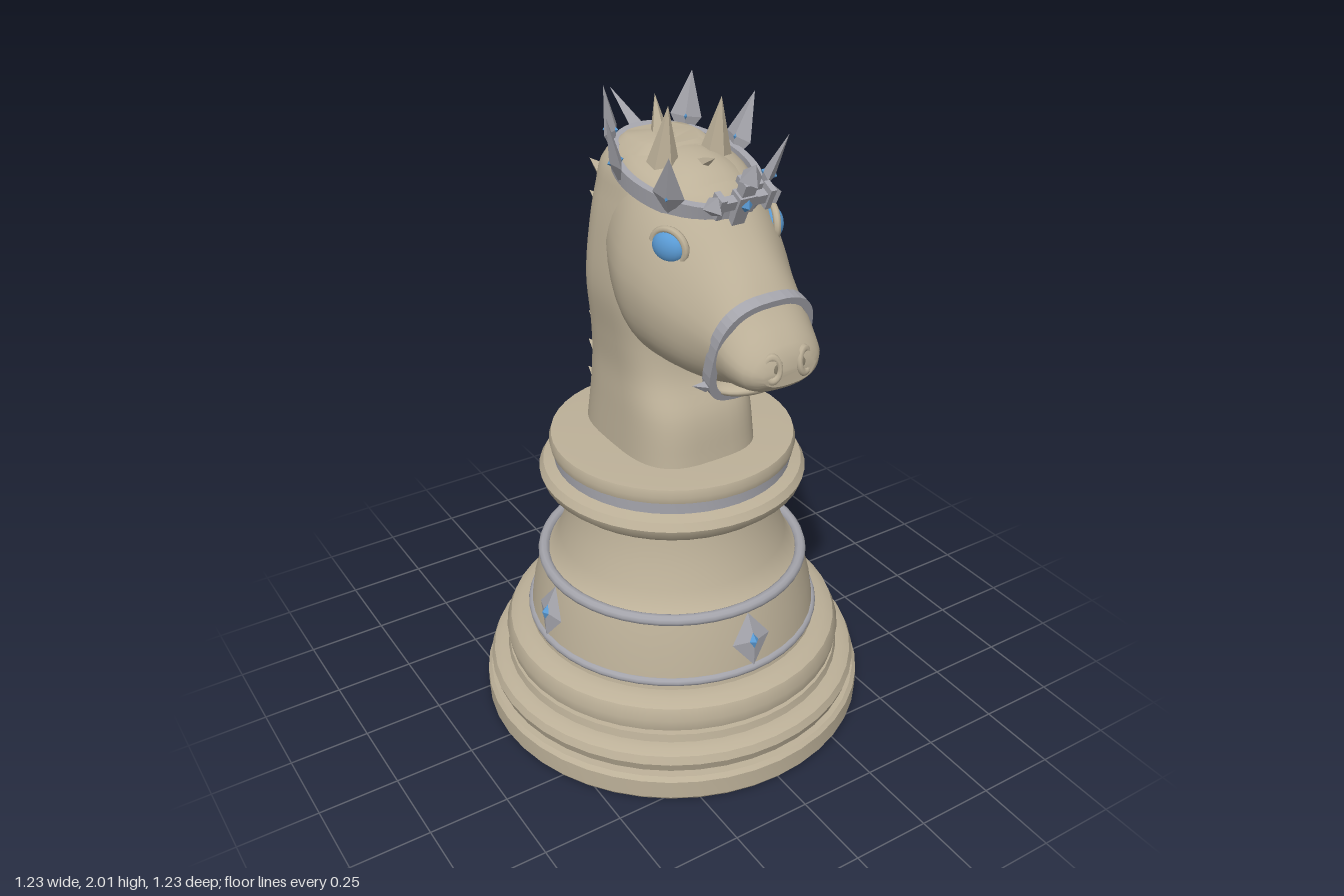
import * as THREE from 'three';
import { toCreasedNormals } from 'three/addons/utils/BufferGeometryUtils.js';

const mat = (name, color, extra = {}) => new THREE.MeshStandardMaterial({ name, color, ...extra });

export function createModel() {
  const stone = mat('warm stone', 0xbcb098);
  const silver = mat('silver', 0xa4a4ab);
  const blue = mat('blue gem', 0x5a9bd5);
  const shade = mat('dark stone', 0x8f8672);
  const root = new THREE.Group();
  root.name = 'knightPiece';

  const add = (parent, name, geo, material, pos = [0, 0, 0], rot = [0, 0, 0], scale = [1, 1, 1]) => {
    const m = new THREE.Mesh(geo, material);
    m.name = name;
    m.position.set(...pos);
    m.rotation.set(...rot);
    m.scale.set(...scale);
    parent.add(m);
    return m;
  };
  const group = (parent, name, pos = [0, 0, 0], rot = [0, 0, 0]) => {
    const g = new THREE.Group();
    g.name = name;
    g.position.set(...pos);
    g.rotation.set(...rot);
    parent.add(g);
    return g;
  };
  const lathe = (pts, crease = 0.6) => toCreasedNormals(
    new THREE.LatheGeometry(pts.map(p => new THREE.Vector2(...p)), 44), crease);
  // four-sided kite solid, widest at its origin
  const kite = (w, up, down, t) => {
    const g = new THREE.OctahedronGeometry(1), p = g.attributes.position;
    for (let i = 0; i < p.count; i++) {
      const y = p.getY(i);
      p.setXYZ(i, p.getX(i) * w, y > 0 ? y * up : y * down, p.getZ(i) * t);
    }
    g.computeVertexNormals();
    return g;
  };
  // cone from a base point to a tip
  const spike = (parent, name, base, tip, r, material, sides = 5) => {
    const a = new THREE.Vector3(...base), d = new THREE.Vector3(...tip).sub(a);
    const g = new THREE.ConeGeometry(r, d.length(), sides).toNonIndexed();
    g.computeVertexNormals();
    g.translate(0, d.length() / 2, 0);
    const m = add(parent, name, g, material, base);
    m.quaternion.setFromUnitVectors(new THREE.Vector3(0, 1, 0), d.normalize());
  };
  const power = (v, n) => Math.sign(v) * Math.abs(v) ** (2 / n);
  // smooth body through sections [position, high, low, half width]
  const loft = (sections, place, n, dir, steps = 40, seg = 48) => {
    const f = new THREE.CubicInterpolant(new Float32Array(sections.map(s => s[0])),
      new Float32Array(sections.flatMap(s => s.slice(1))), 3);
    const t0 = sections[0][0], t1 = sections[sections.length - 1][0], pos = [], idx = [];
    for (let i = 0; i <= steps; i++) {
      const t = t0 + (t1 - t0) * i / steps, [hi, lo, w] = f.evaluate(t);
      for (let j = 0; j < seg; j++) {
        const a = dir * j / seg * Math.PI * 2, u = power(Math.cos(a), n), v = power(Math.sin(a), n);
        pos.push(...place(t, u * w, (hi + lo) / 2 + v * (hi - lo) / 2, v));
      }
    }
    for (let i = 0; i < steps; i++) for (let j = 0; j < seg; j++) {
      const k = (j + 1) % seg, a = i * seg + j, b = i * seg + k;
      idx.push(a, a + seg, b, b, a + seg, b + seg);
    }
    for (let j = 1; j < seg - 1; j++) {
      const e = steps * seg;
      idx.push(0, j, j + 1, e, e + j + 1, e + j);
    }
    const g = new THREE.BufferGeometry();
    g.setAttribute('position', new THREE.Float32BufferAttribute(pos, 3));
    g.setIndex(idx);
    g.computeVertexNormals();
    return toCreasedNormals(g, 0.7);
  };

  // Turned pedestal
  add(root, 'pedestal', lathe([
    [0, 0], [0.61, 0], [0.617, 0.01], [0.617, 0.07], [0.605, 0.083], [0.575, 0.085],
    [0.592, 0.095], [0.602, 0.125], [0.592, 0.15], [0.57, 0.162], [0.545, 0.165], [0.54, 0.19], [0.52, 0.192],
    [0.538, 0.205], [0.545, 0.245], [0.53, 0.28], [0.5, 0.298], [0.465, 0.3], [0.457, 0.34], [0.445, 0.42],
    [0.42, 0.51], [0.39, 0.53], [0.36, 0.59], [0.335, 0.66], [0.318, 0.72], [0.308, 0.78],
    [0.375, 0.783], [0.405, 0.81], [0.413, 0.835], [0.4, 0.858], [0.365, 0.868], [0.36, 0.905],
    [0.375, 0.908], [0.38, 0.93], [0.373, 0.952], [0.335, 0.955], [0, 0.955]]), stone);
  add(root, 'collarInlay', lathe([[0.355, 0.866], [0.366, 0.868], [0.366, 0.907], [0.355, 0.908]]), silver);
  for (const [r, y, t] of [[0.412, 0.522, 0.018], [0.456, 0.325, 0.014]])
    add(root, 'silverRing', new THREE.TorusGeometry(r, t, 10, 48), silver, [0, y, 0], [Math.PI / 2, 0, 0]);
  for (let i = 0; i < 4; i++) {
    const spin = group(root, 'pedestalGem', [0, 0, 0], [0, i * Math.PI / 2, 0]);
    const g = group(spin, 'gemMount', [0, 0.425, 0.446], [-0.23, 0, 0]);
    add(g, 'mountPlate', kite(0.067, 0.088, 0.088, 0.022), silver);
    add(g, 'gem', kite(0.033, 0.05, 0.05, 0.032), blue);
  }

  // Neck and head
  add(root, 'neck', loft([
    [0.95, 0.245, -0.275, 0.21], [1.1, 0.22, -0.252, 0.2], [1.2, 0.17, -0.24, 0.195], [1.3, 0.15, -0.225, 0.203],
    [1.45, 0.15, -0.215, 0.22], [1.6, 0.15, -0.21, 0.207], [1.72, 0.14, -0.2, 0.185],
    [1.82, 0.1, -0.175, 0.155], [1.87, 0.05, -0.13, 0.1]], (y, x, z) => [x, y, z], 3.2, 1), stone);
  add(root, 'head', loft([
    [-0.12, 1.84, 1.45, 0.15], [0, 1.86, 1.33, 0.215], [0.1, 1.86, 1.272, 0.243], [0.2, 1.83, 1.265, 0.236],
    [0.28, 1.765, 1.268, 0.212], [0.36, 1.685, 1.28, 0.18], [0.44, 1.605, 1.305, 0.155], [0.5, 1.53, 1.318, 0.142],
    [0.55, 1.475, 1.333, 0.118], [0.575, 1.44, 1.355, 0.085]],
  (z, x, y, v) => [x * (1 - 0.22 * Math.max(v, 0)), y, z], 2.4, -1), stone);
  add(root, 'lowerLip', new THREE.SphereGeometry(1, 24, 14), stone, [0, 1.287, 0.4], [-0.12, 0, 0], [0.11, 0.026, 0.075]);
  for (const s of [-1, 1]) {
    add(root, 'nostrilRim', new THREE.TorusGeometry(0.026, 0.01, 8, 20), stone, [s * 0.052, 1.41, 0.567], [-0.15, s * 0.35, 0], [0.85, 1.25, 1]);
    add(root, 'nostril', new THREE.SphereGeometry(0.024, 14, 10), shade, [s * 0.052, 1.41, 0.566], [0, s * 0.35, 0], [0.85, 1.2, 0.35]);
    const eye = group(root, 'eye', [s * 0.168, 1.668, 0.25], [0, s * 1.2, 0]);
    add(eye, 'eyeball', new THREE.SphereGeometry(1, 24, 16), blue, [0, 0, 0], [0, 0, 0], [0.052, 0.044, 0.03]);
    add(eye, 'eyelid', new THREE.TorusGeometry(0.054, 0.011, 8, 28), stone, [0, 0, 0], [0, 0, 0], [1, 0.9, 1]);
    // Ears
    spike(root, 'ear', [s * 0.085, 1.79, 0.08], [s * 0.085, 2, 0.115], 0.058, stone, 6);
    spike(root, 'bridleStud', [s * 0.145, 1.315, 0.405], [s * 0.19, 1.325, 0.4], 0.018, silver, 4);
  }

  // Noseband
  const oval = (a, b, T) => {
    const s = new T();
    s.setFromPoints(Array.from({ length: 40 }, (_, i) => {
      const t = i / 40 * Math.PI * 2, n = Math.sin(t) > 0 ? 2.7 : 3.4;
      return new THREE.Vector2(a * power(Math.cos(t), n), b * power(Math.sin(t), n));
    }));
    s.closePath();
    return s;
  };
  const loop = oval(0.158, 0.166, THREE.Shape);
  loop.holes.push(oval(0.136, 0.146, THREE.Path));
  const bandGeo = new THREE.ExtrudeGeometry(loop, { depth: 0.036, bevelEnabled: false });
  bandGeo.translate(0, 0, -0.018);
  add(root, 'noseband', bandGeo, silver, [0, 1.412, 0.434], [0.29, 0, 0]);

  // Mane: a large middle row between two smaller rows
  for (let i = 0; i < 8; i++) {
    const y = 1.77 - i * 0.1, z = -0.19 - 0.07 * i / 7;
    spike(root, 'maneSpike', [0, y, z], [0, y + 0.03, z - 0.125 + 0.006 * i], 0.045, stone);
    for (const s of [-1, 1])
      spike(root, 'sideManeSpike', [s * 0.1, y - 0.045, z], [s * 0.115, y - 0.015, z - 0.075 + 0.003 * i], 0.032, stone);
  }
  spike(root, 'forelock', [0, 1.8, 0.08], [0, 1.87, 0.215], 0.04, stone);
  spike(root, 'topTuft', [0, 1.83, -0.06], [0, 1.97, -0.09], 0.035, stone);

  // Crown: tilted oval band with a cap of the head inside
  const crown = group(root, 'crown', [0, 1.795, 0.07], [0.2, 0, 0]);
  add(crown, 'crownBand', lathe([[0.93, -0.024], [1.03, -0.024], [1.05, 0.024], [0.93, 0.024], [0.93, -0.024]]),
    silver, [0, 0, 0], [0, 0, 0], [0.185, 1, 0.24]);
  add(crown, 'crownOfHead', new THREE.SphereGeometry(1, 32, 16), stone, [0, -0.01, 0], [0, 0, 0], [0.176, 0.075, 0.228]);
  const point = (deg, lean, size) => {
    const a = deg * Math.PI / 180;
    const spin = group(crown, 'crownPoint', [0.192 * Math.sin(a), 0, 0.25 * Math.cos(a)], [0, a, 0]);
    const g = group(spin, 'pointLean', [0, 0, 0], [lean, 0, 0]);
    add(g, 'leaf', kite(0.045 * size, 0.13 * size, 0.075 * size, 0.018), silver, [0, 0.045, 0]);
    add(g, 'leafGem', kite(0.015, 0.028, 0.028, 0.024), blue, [0, 0.045, 0]);
  };
  for (const s of [-1, 1]) {
    point(s * 52, 0.28, 1);
    point(s * 100, 0.28, 1.05);
    point(s * 142, 0.25, 1);
  }
  spike(crown, 'backPoint', [0, 0, -0.24], [0, 0.05, -0.43], 0.026, silver, 4);

  // Cross ornament on the brow
  const cross = group(crown, 'browCross', [0, -0.02, 0.25], [0.25, 0, 0]);
  add(cross, 'upright', new THREE.BoxGeometry(0.04, 0.14, 0.03), silver, [0, 0.07, 0]);
  add(cross, 'crossbar', new THREE.BoxGeometry(0.16, 0.03, 0.026), silver, [0, 0.075, 0]);
  add(cross, 'boss', new THREE.BoxGeometry(0.055, 0.055, 0.042), silver, [0, 0.075, 0]);
  add(cross, 'bossGem', kite(0.018, 0.022, 0.022, 0.014), blue, [0, 0.075, 0.022]);
  add(cross, 'topBlock', new THREE.BoxGeometry(0.055, 0.02, 0.045), silver, [0, 0.14, 0]);
  spike(cross, 'topTip', [0, 0.15, 0], [0, 0.2, 0], 0.036, silver, 4);
  for (const s of [-1, 1]) {
    add(cross, 'armBlock', new THREE.BoxGeometry(0.018, 0.066, 0.04), silver, [s * 0.078, 0.075, 0]);
    spike(cross, 'armTip', [s * 0.086, 0.075, 0], [s * 0.125, 0.075, 0], 0.034, silver, 4);
  }
  return root;
}
